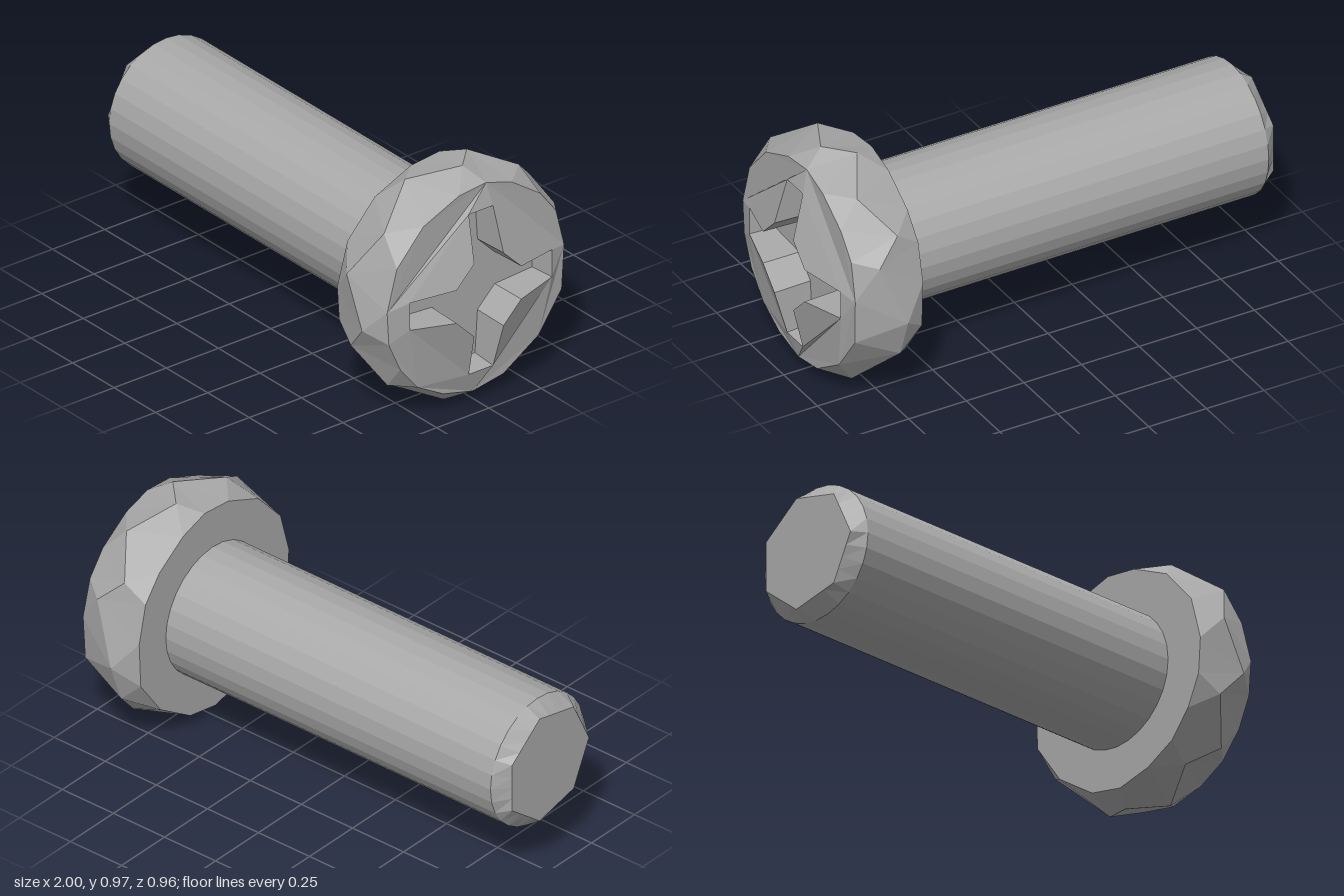
import * as THREE from 'three';

// Everything is built along local +z (head in front), then turned to lie along +x.
const CENTRE_Y = 0.482;

// Faceted skin through closed loops of points, each counter-clockwise seen from +z.
function loft(loops) {
  const pos = [];
  for (let k = 0; k + 1 < loops.length; k++) {
    const a = loops[k], b = loops[k + 1], n = a.length;
    for (let i = 0; i < n; i++) {
      const j = (i + 1) % n;
      pos.push(...a[i], ...a[j], ...b[i], ...a[j], ...b[j], ...b[i]);
    }
  }
  const geo = new THREE.BufferGeometry();
  geo.setAttribute('position', new THREE.Float32BufferAttribute(pos, 3));
  geo.computeVertexNormals();
  return geo;
}

const toVectors = (loop) => loop.map(([x, y]) => new THREE.Vector2(x, y));

// Height of the gently domed front face at radius r
const dome = (r) => 1 - 0.05 * Math.max(0, (r - 0.17) / 0.18);
const onDome = ([x, y]) => [x, y, dome(Math.hypot(x, y))];

function ring(n, z, radius) {
  return Array.from({ length: n }, (_, i) => {
    const t = Math.PI + (i / n) * Math.PI * 2, r = radius(i);
    return [r * Math.cos(t), r * Math.sin(t), z];
  });
}

export function createModel() {
  const metal = new THREE.MeshStandardMaterial({ color: 0xa8a8a8 });
  metal.name = 'grey metal';
  const screw = new THREE.Group();
  screw.name = 'screw';
  const add = (name, geometry) => {
    const mesh = new THREE.Mesh(geometry, metal);
    mesh.name = name;
    screw.add(mesh);
  };

  // Shank, bevelled down to a seven-sided tip
  const sides = 28, tipSides = 7, tipR = 0.235;
  const tipRadius = (i) => {
    const step = Math.PI / tipSides;
    const t = ((i / sides) * Math.PI * 2) % (2 * step);
    return tipR * Math.cos(step) / Math.cos(t - step);
  };
  const full = () => 0.273;
  add('shank', loft([ring(sides, -0.945, full), ring(sides, 0.66, full)]));
  add('tipBevel', loft([ring(sides, -1, tipRadius), ring(sides, -0.945, full)]));
  const tip = new THREE.CircleGeometry(tipR, tipSides);
  tip.rotateY(Math.PI).translate(0, 0, -1);
  add('tipFace', tip);

  // Irregular head outline at its widest
  const outline = [
    [0.48, 0.41], [0.44, 0.66], [0.4, 0.755], [0.27, 0.88], [0.1, 0.96], [0, 0.965],
    [-0.195, 0.93], [-0.375, 0.8], [-0.475, 0.62], [-0.48, 0.42], [-0.455, 0.31],
    [-0.36, 0.15], [-0.27, 0.08], [-0.09, 0], [0.05, 0], [0.23, 0.06], [0.42, 0.245],
  ].map(([x, y]) => [x, y - CENTRE_Y]);
  const n = outline.length;
  const between = (i, j, s) => [0, 1].map((k) => (outline[i][k] + outline[j][k]) / 2 * s);
  const widest = outline.map(([x, y], i) => [x, y, i % 2 ? 0.84 : 0.74]);
  const back = outline.map((_, i) => [...between((i + n - 1) % n, i, 0.93), 0.645]);
  const rim = outline.map((_, i) => onDome(between(i, (i + 1) % n, 0.9)));
  add('headSide', loft([back, widest, rim]));
  // Underside, tucked a little inside the shank
  add('headUnderside', loft([back.map(([x, y]) => [x * 0.57, y * 0.57, 0.645]), back]));

  // Cross recess outline: one arm repeated four times
  const arm = [[0.155, -0.07], [0.34, -0.058], [0.34, 0.058], [0.155, 0.07]];
  const cross = [];
  for (let q = 0; q < 4; q++) {
    const c = Math.round(Math.cos(q * Math.PI / 2)), s = Math.round(Math.sin(q * Math.PI / 2));
    for (const [x, y] of arm) cross.push([x * c - y * s, x * s + y * c]);
  }

  // Domed front face with the recess cut out
  const face = new THREE.Shape(toVectors(rim));
  face.holes.push(new THREE.Path(toVectors(cross)));
  const faceGeo = new THREE.ShapeGeometry(face).toNonIndexed();
  const p = faceGeo.attributes.position;
  for (let i = 0; i < p.count; i++) p.setZ(i, dome(Math.hypot(p.getX(i), p.getY(i))));
  faceGeo.computeVertexNormals();
  add('headFace', faceGeo);

  // Recess walls, tapering to a flat floor
  const floor = cross.map(([x, y]) => [x * 0.97, y * 0.97, 0.845]);
  add('recessWalls', loft([cross.map(onDome), floor]));
  add('recessFloor', new THREE.ShapeGeometry(new THREE.Shape(toVectors(floor))).translate(0, 0, 0.845));

  screw.rotation.y = Math.PI / 2;
  screw.position.y = CENTRE_Y;
  const model = new THREE.Group();
  model.name = 'crossHeadScrew';
  model.add(screw);
  return model;
}
